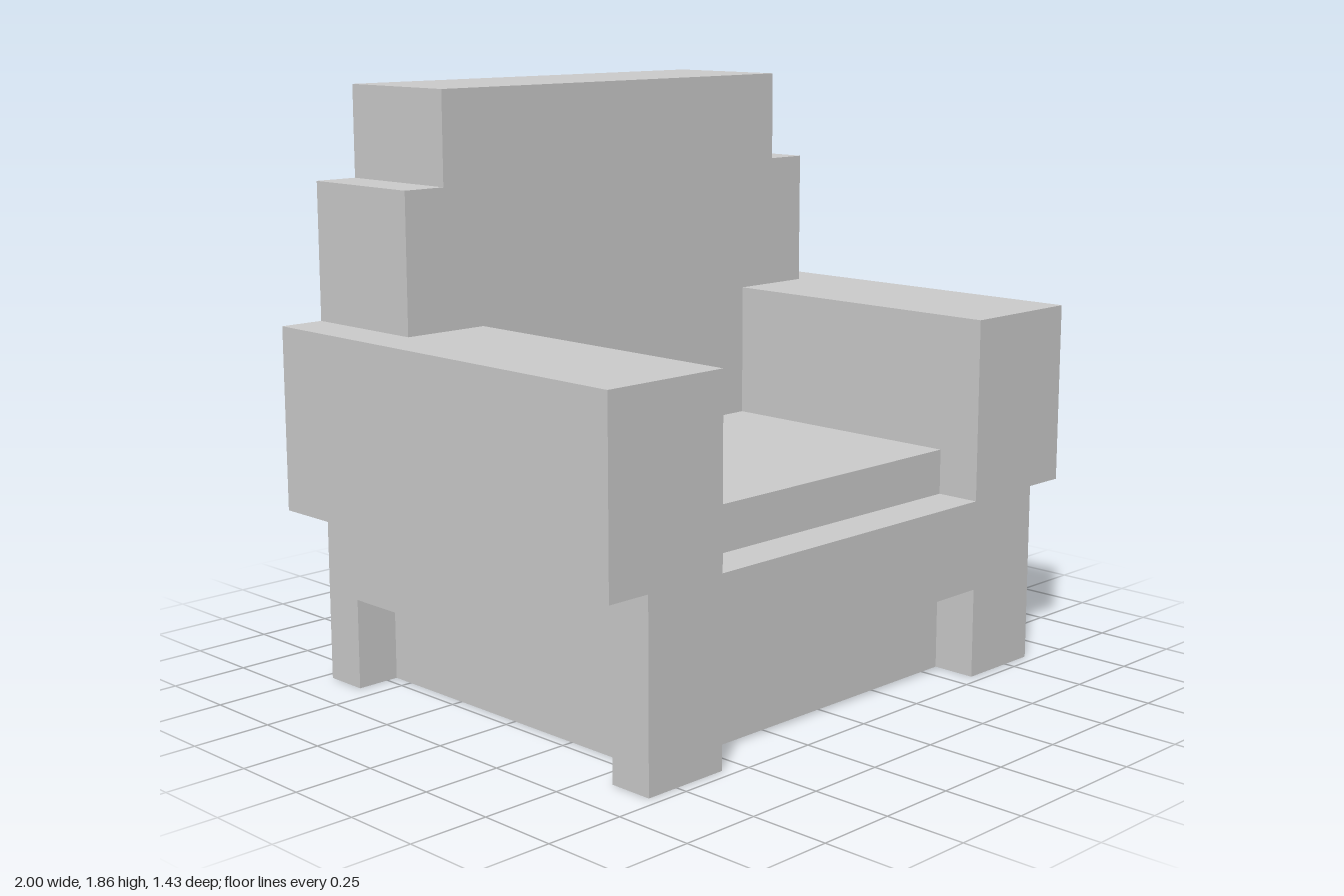
import * as THREE from 'three';

const U = 1 / 7; // the chair is laid out on a grid of this size

export function createModel() {
  const chair = new THREE.Group();
  chair.name = 'armchair';
  const material = new THREE.MeshStandardMaterial({ color: 0xcccccc, flatShading: true });

  const add = (name, geometry) => {
    const mesh = new THREE.Mesh(geometry, material);
    mesh.name = name;
    chair.add(mesh);
    return mesh;
  };

  // Box given by its extents in grid units
  const box = (name, [x0, x1], [y0, y1], [z0, z1]) => {
    const mesh = add(name, new THREE.BoxGeometry((x1 - x0) * U, (y1 - y0) * U, (z1 - z0) * U));
    mesh.position.set((x0 + x1) / 2 * U, (y0 + y1) / 2 * U, (z0 + z1) / 2 * U);
  };

  // Inset plinth and the wider seat frame on top of it
  box('plinth', [-5, 5], [0, 2], [-4, 4]);
  box('seatFrame', [-6, 6], [2, 4], [-5, 5]);
  box('seatCushion', [-4, 4], [4, 5], [-2, 4]);

  // Armrests, and legs wrapping the corners of the plinth
  for (const [side, s] of [['left', 1], ['right', -1]]) {
    const span = (a, b) => (s > 0 ? [a, b] : [-b, -a]);
    box(side + 'Armrest', span(4, 7), [4, 8], [-5, 5]);
    box(side + 'FrontLeg', span(4, 6), [0, 2], [4, 5]);
    box(side + 'BackLeg', span(4, 6), [0, 2], [-5, -4]);
  }

  // Backrest: stepped outline, fitted between and above the armrests
  const half = [[4, 4], [4, 8], [6, 8], [6, 11], [5, 11], [5, 13]];
  const outline = [...half, ...half.map(([x, y]) => [-x, y]).reverse()];
  const shape = new THREE.Shape(outline.map(([x, y]) => new THREE.Vector2(x * U, y * U)));
  const back = add('backrest', new THREE.ExtrudeGeometry(shape, { depth: 3 * U, bevelEnabled: false }));
  back.position.z = -5 * U;

  return chair;
}
